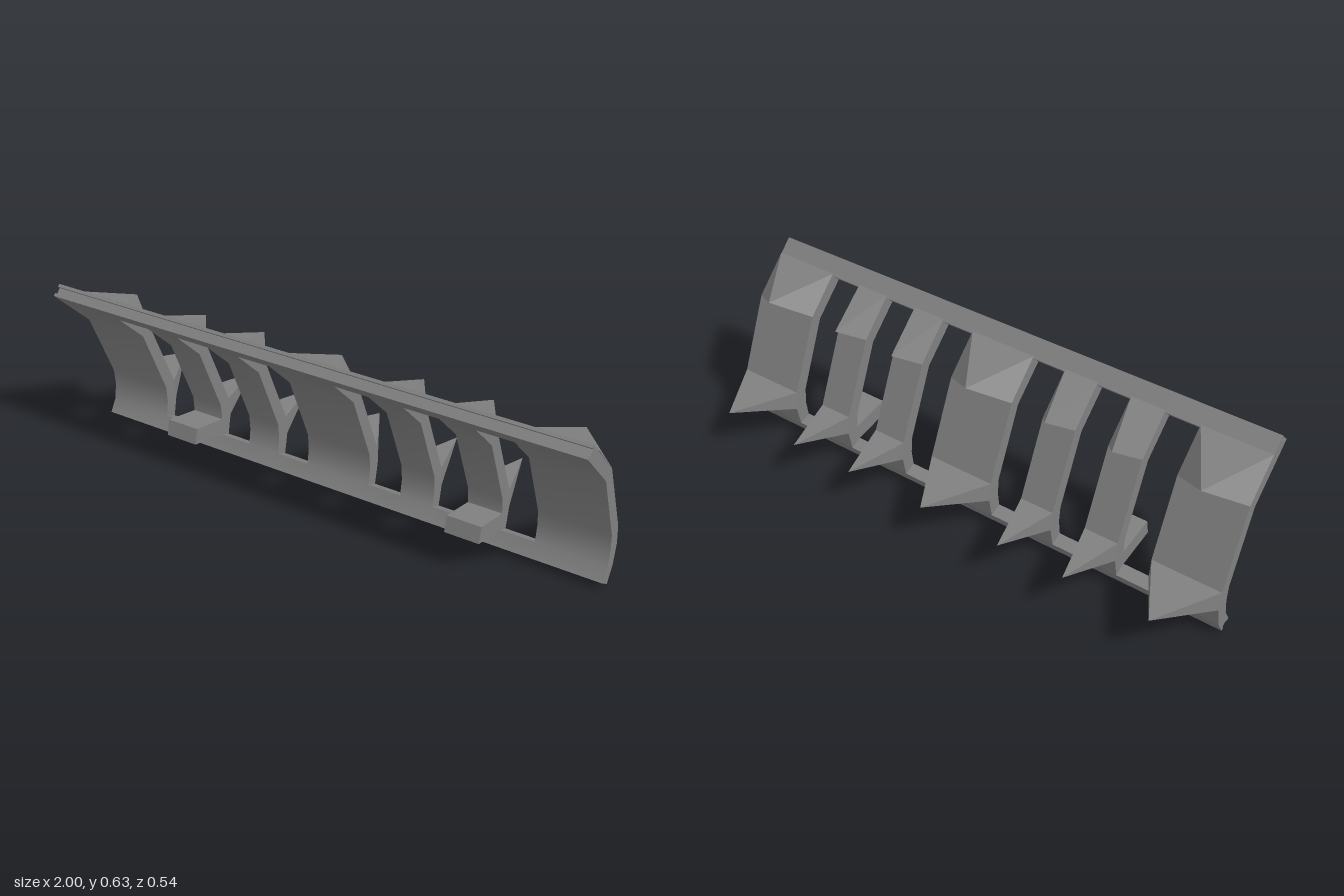
import * as THREE from 'three';
import { mergeGeometries, toCreasedNormals } from 'three/addons/utils/BufferGeometryUtils.js';

// Section outlines as [z, y], bottom to top; index 1 and 4 bound the slots
const FRONT = [[0.037, 0.026], [0.008, 0.073], [-0.001, 0.131], [0.003, 0.189], [0.107, 0.441], [0.22, 0.5505], [0.27, 0.599]];
const BACK = [[-0.002, 0], [-0.035, 0.054], [-0.051, 0.129], [-0.044, 0.198], [0.069, 0.467], [0.186, 0.582], [0.237, 0.632]];
const SLOT_BOTTOM = 1, SLOT_TOP = 5, LAST = 6;

// Column edges across the right half of the width: [x0, x1, slotted]
const HALF = [[0.125, 0.25, true], [0.25, 0.375, false], [0.375, 0.5, true], [0.5, 0.625, false], [0.625, 0.75, true], [0.75, 1, false]];
const COLUMNS = [[-0.125, 0.125, false], ...HALF, ...HALF.map(([a, b, s]) => [-b, -a, s])];

// Polygon of [z, y] points swept along x
function prism(points, x0, x1) {
  const shape = new THREE.Shape(points.map(([z, y]) => new THREE.Vector2(-z, y)));
  const geo = new THREE.ExtrudeGeometry(shape, { depth: x1 - x0, bevelEnabled: false });
  return geo.rotateY(Math.PI / 2).translate(x0, 0, 0);
}

const mix = (a, b, t) => [a[0] + (b[0] - a[0]) * t, a[1] + (b[1] - a[1]) * t];

// Moves an end point back along the section by a distance
function recess(end, next, d) {
  return mix(end, next, d / Math.hypot(next[0] - end[0], next[1] - end[1]));
}

// One layer of the panel, t0..t1 through the thickness, with slots left open
function layer(t0, t1, inset) {
  const line = (t) => {
    const pts = FRONT.map((p, i) => mix(p, BACK[i], t));
    if (inset) {
      pts[0] = recess(pts[0], pts[1], inset);
      pts[LAST] = recess(pts[LAST], pts[LAST - 1], inset);
    }
    return pts;
  };
  const a = line(t0), b = line(t1), parts = [];
  for (const [x0, x1, slotted] of COLUMNS) {
    const spans = slotted ? [[0, SLOT_BOTTOM], [SLOT_TOP, LAST]] : [[0, LAST]];
    for (const [i, j] of spans) {
      parts.push(prism([...a.slice(i, j + 1), ...b.slice(i, j + 1).reverse()], x0, x1));
    }
  }
  return mergeGeometries(parts);
}

// Four-sided spike from a rectangle on the back face to a single tip
function spike(x, half, low, high, tip) {
  const c = [[-half, low], [half, low], [half, high], [-half, high]].map(([dx, [z, y]]) => [x + dx, y, z]);
  const apex = [x, tip[1], tip[0]];
  const pos = [];
  for (let i = 0; i < 4; i++) pos.push(...c[(i + 1) % 4], ...c[i], ...apex);
  const geo = new THREE.BufferGeometry();
  geo.setAttribute('position', new THREE.Float32BufferAttribute(pos, 3));
  geo.computeVertexNormals();
  return geo;
}

export function createModel() {
  const group = new THREE.Group();
  const grey = new THREE.MeshStandardMaterial({ color: 0x808080 });
  grey.name = 'grey';
  const add = (name, geo) => {
    const mesh = new THREE.Mesh(geo, grey);
    mesh.name = name;
    group.add(mesh);
  };

  // Slotted panel: smooth front skin, recessed core, faceted back skin
  add('frontSkin', toCreasedNormals(layer(0, 0.24, 0), 0.6));
  add('core', layer(0.24, 0.76, 0.011));
  add('backSkin', layer(0.76, 1, 0));

  // Two rows of spikes on the back, one pair per rib
  for (const [x0, x1, slotted] of COLUMNS) {
    if (slotted) continue;
    const x = (x0 + x1) / 2, half = (x1 - x0) / 2;
    add('upperSpike', spike(x, half, BACK[4], [0.19, 0.588], [-0.018, 0.524]));
    add('lowerSpike', spike(x, half, BACK[2], BACK[3], [-0.268, 0.183]));
  }

  // Pegs on the front
  for (const x of [-0.625, 0.5]) {
    add('peg', prism([FRONT[2], [0.144, 0.161], [0.157, 0.104], FRONT[1]], x, x + 0.125));
  }
  return group;
}
